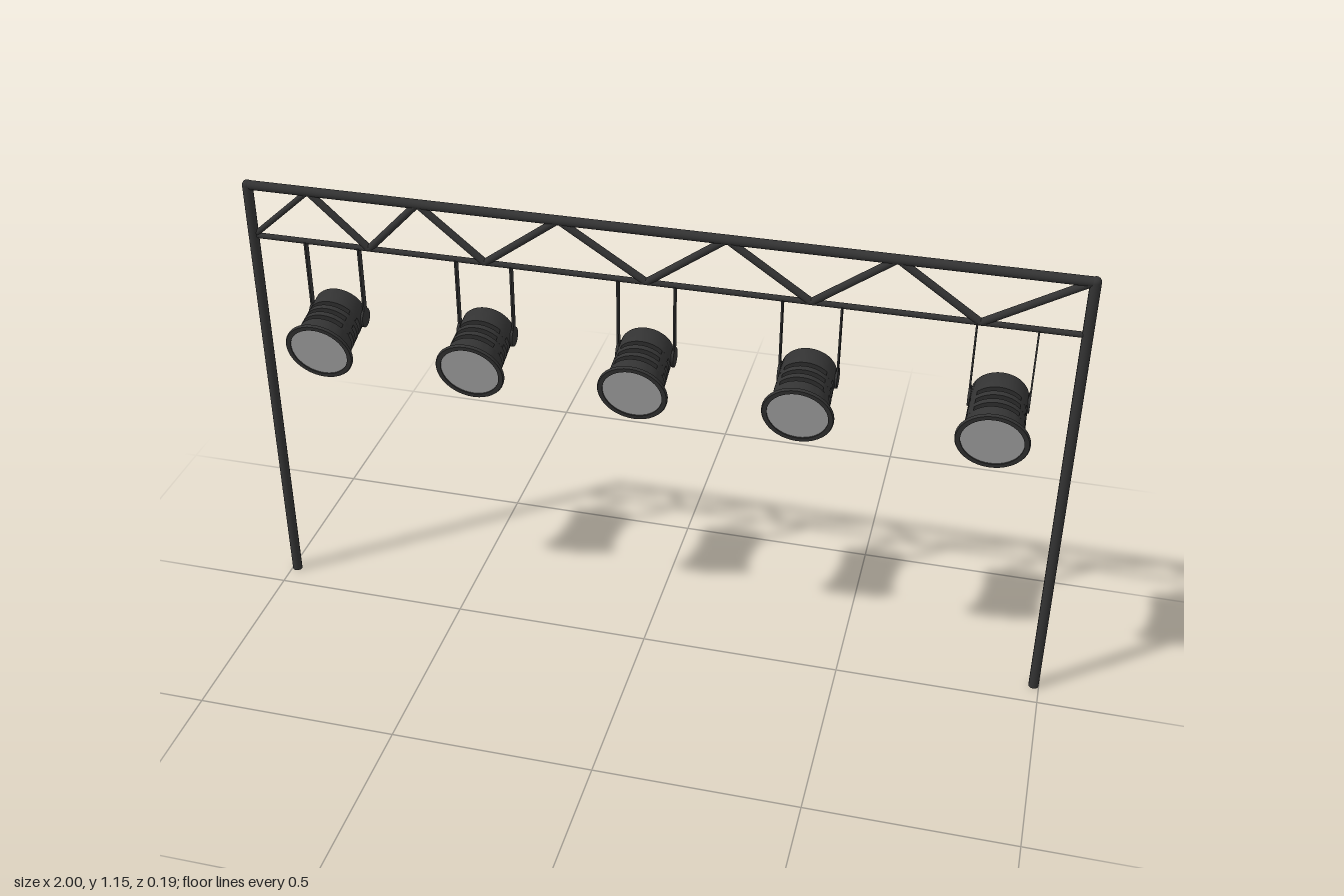
import * as THREE from 'three';
import { toCreasedNormals } from 'three/addons/utils/BufferGeometryUtils.js';

const dark = new THREE.MeshStandardMaterial({ color: 0x333333 });
const darkShell = new THREE.MeshStandardMaterial({ color: 0x333333, side: THREE.DoubleSide });
const glass = new THREE.MeshStandardMaterial({ color: 0xaaaaaa });
const pale = new THREE.MeshStandardMaterial({ color: 0xcccccc });

const FRAME_Z = -0.063;
const TOP_Y = 1.138, LOW_Y = 1.006, POST_X = 0.987;

function add(parent, name, geometry, material = dark) {
  const mesh = new THREE.Mesh(geometry, material);
  mesh.name = name;
  parent.add(mesh);
  return mesh;
}

// Round bar between two points of the frame plane
function bar(parent, name, x0, y0, x1, y1, r) {
  const a = new THREE.Vector3(x0, y0, FRAME_Z);
  const d = new THREE.Vector3(x1, y1, FRAME_Z).sub(a);
  const mesh = add(parent, name, new THREE.CylinderGeometry(r, r, d.length(), 16));
  mesh.position.copy(a).addScaledVector(d, 0.5);
  mesh.quaternion.setFromUnitVectors(new THREE.Vector3(0, 1, 0), d.normalize());
}

// Part of a revolved profile; angle 0 is the top of the lamp
function revolve(points, from = 0, to = 360) {
  const profile = points.map(([r, y]) => new THREE.Vector2(r, y));
  const rad = THREE.MathUtils.degToRad;
  const segments = Math.max(4, Math.round((to - from) / 9));
  return toCreasedNormals(new THREE.LatheGeometry(profile, segments, rad(from), rad(to - from)), 0.6);
}

// Spotlight along local y: lens at y = 0, back cap at y = 0.161
function createLamp() {
  const lamp = new THREE.Group();
  lamp.name = 'spotlight';
  const core = 0.045;
  const radius = (y) => 0.0685 - 0.025 * y;
  const band = (y0, y1) => [[core, y0], [radius(y0), y0], [radius(y1), y1], [core, y1]];

  // Flared front rim, its pale rear face and the lens
  add(lamp, 'rim', revolve([
    [0.071, 0.006], [0.071, 0], [0.082, 0], [0.084, 0.003],
    [0.084, 0.007], [0.081, 0.009], [0.068, 0.011],
  ]), darkShell);
  const rimBack = add(lamp, 'rimBack', new THREE.RingGeometry(0.067, 0.081, 40), pale);
  rimBack.rotation.x = -Math.PI / 2;
  rimBack.position.y = 0.0115;
  const lens = add(lamp, 'lens', new THREE.CircleGeometry(0.072, 40), glass);
  lens.rotation.x = Math.PI / 2;
  lens.position.y = 0.003;

  // Inner core seen through the vents
  const inner = add(lamp, 'innerCore', new THREE.CylinderGeometry(core, core, 0.12, 40));
  inner.position.y = 0.08;

  // Housing: solid bands with three rows of vents between them
  const vents = [0.053, 0.078, 0.103], half = 0.006;
  let start = 0.005;
  for (const v of vents) {
    add(lamp, 'housingBand', revolve(band(start, v - half)), darkShell);
    for (const [from, to] of [[48, 70], [132, 228], [290, 312]])
      add(lamp, 'ventBridge', revolve(band(v - half, v + half), from, to), darkShell);
    start = v + half;
  }
  add(lamp, 'housingBack', revolve([
    [core, start], [radius(start), start], [0.065, 0.155], [0.063, 0.159], [0.059, 0.161], [0, 0.161],
  ]), darkShell);

  lamp.rotation.x = -THREE.MathUtils.degToRad(75.8);
  lamp.position.set(0, 0.785, 0.075);
  return lamp;
}

export function createModel() {
  const model = new THREE.Group();
  model.name = 'lightingRig';

  // Posts with rounded tops
  for (const s of [-1, 1]) {
    bar(model, 'post', s * POST_X, 0, s * POST_X, TOP_Y, 0.0125);
    const cap = add(model, 'postCap', new THREE.SphereGeometry(0.0125, 16, 12));
    cap.position.set(s * POST_X, TOP_Y, FRAME_Z);
  }

  // Truss rails and zigzag braces
  bar(model, 'topRail', -POST_X, TOP_Y, POST_X, TOP_Y, 0.0115);
  bar(model, 'lowerRail', -POST_X, LOW_Y, POST_X, LOW_Y, 0.007);
  const nodes = [-0.985, -0.834, -0.69, -0.561, -0.401, -0.219, -0.01, 0.176, 0.374, 0.561, 0.754, 0.985];
  for (let i = 0; i < nodes.length - 1; i++) {
    const up = i % 2 === 0;
    bar(model, 'brace', nodes[i], up ? LOW_Y : TOP_Y, nodes[i + 1], up ? TOP_Y : LOW_Y, i ? 0.009 : 0.007);
  }

  // Spotlights, each hung between two flat straps
  for (const x of [-0.785, -0.405, -0.01, 0.377, 0.815]) {
    const unit = new THREE.Group();
    unit.name = 'hangingLight';
    unit.position.x = x;
    unit.add(createLamp());
    for (const s of [-1, 1]) {
      const strap = add(unit, 'strap', new THREE.BoxGeometry(0.004, 0.19, 0.018));
      strap.position.set(s * 0.068, 0.91, FRAME_Z);
      const pivot = add(unit, 'strapPivot', new THREE.CylinderGeometry(0.024, 0.024, 0.006, 24));
      pivot.rotation.z = Math.PI / 2;
      pivot.position.set(s * 0.067, 0.815, FRAME_Z);
    }
    model.add(unit);
  }
  return model;
}
